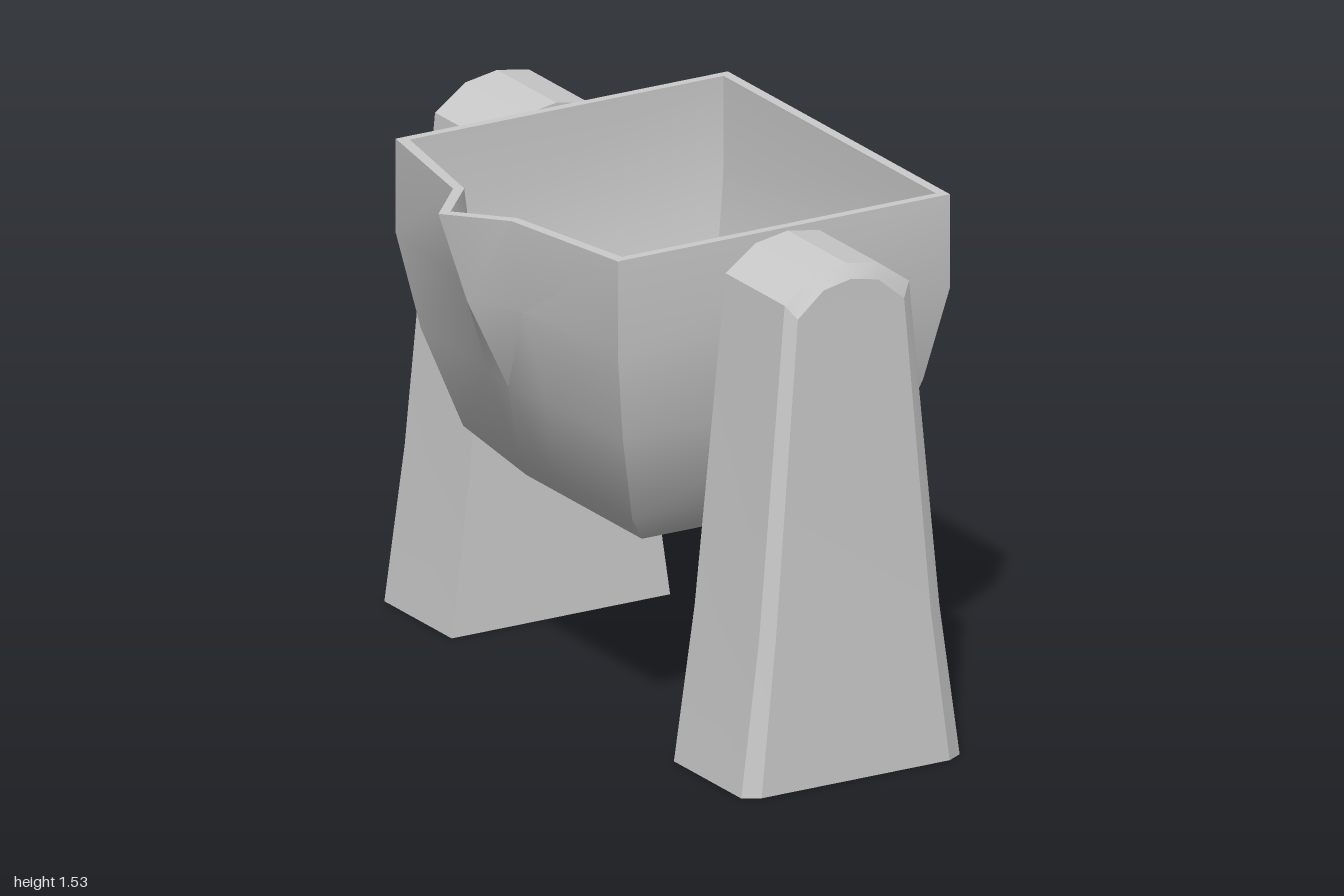
import * as THREE from 'three';
import { toCreasedNormals } from 'three/addons/utils/BufferGeometryUtils.js';

const MID_X = 0.11;
const material = new THREE.MeshStandardMaterial({ color: 0xcccccc });

// Skins a list of equal-length rings of [x, y, z] points and caps both ends.
function loft(rings, crease) {
  const pos = [];
  const tri = (a, b, c) => pos.push(...a, ...b, ...c);
  const quad = (a, b, c, d) => { tri(a, b, c); tri(a, c, d); };
  const n = rings[0].length;
  for (let k = 0; k < rings.length - 1; k++) {
    const a = rings[k], b = rings[k + 1];
    for (let i = 0; i < n; i++) {
      const j = (i + 1) % n;
      quad(a[i], a[j], b[j], b[i]);
    }
  }
  // caps: strips between opposite points of the ring
  const cap = (r) => {
    for (let i = 0; i < n - 2 - i; i++) {
      const p = r[i], q = r[i + 1], s = r[n - 2 - i], t = r[n - 1 - i];
      if (q === s) tri(p, q, t);
      else quad(p, q, s, t);
    }
  };
  cap([...rings[0]].reverse());
  cap(rings[rings.length - 1]);
  const geo = new THREE.BufferGeometry();
  geo.setAttribute('position', new THREE.Float32BufferAttribute(pos, 3));
  return toCreasedNormals(geo, crease);
}

function addMesh(parent, name, geometry) {
  const mesh = new THREE.Mesh(geometry, material);
  mesh.name = name;
  parent.add(mesh);
  return mesh;
}

// Square bucket section with a pointed pouring lip on the -x side
function bucketRing(y, right, left, halfZ, lip, tip, lipZ = 0.16) {
  return [
    [right, y, halfZ], [right, y, -halfZ], [left, y, -halfZ],
    [lip, y, -lipZ], [tip, y, 0], [lip, y, lipZ], [left, y, halfZ],
  ];
}

function bucketGeometry() {
  return loft([
    // outside, bottom to rim
    bucketRing(0.565, 0.40, -0.18, 0.315, -0.18, -0.18),
    bucketRing(0.69, 0.525, -0.30, 0.46, -0.30, -0.30),
    bucketRing(0.97, 0.605, -0.385, 0.55, -0.40, -0.43),
    bucketRing(1.25, 0.66, -0.435, 0.605, -0.48, -0.565),
    bucketRing(1.53, 0.66, -0.435, 0.605, -0.515, -0.66),
    // inside, rim to floor
    bucketRing(1.53, 0.63, -0.405, 0.578, -0.487, -0.62, 0.145),
    bucketRing(1.25, 0.63, -0.405, 0.578, -0.45, -0.53, 0.145),
    bucketRing(0.97, 0.575, -0.355, 0.525, -0.37, -0.40, 0.145),
    bucketRing(0.69, 0.495, -0.27, 0.435, -0.27, -0.27, 0.145),
  ], 0.55);
}

// Tapered upright with a rounded head and bevelled outer edge
function supportGeometry() {
  // half outline: half width, height, then z of inner face, bevel start, outer face,
  // and the bevelled half width and height
  const half = [
    [0.36, 0, 0.605, 0.972, 1.0, 0.31, 0],
    [0.297, 0.46, 0.614, 0.965, 0.987, 0.255, 0.46],
    [0.205, 1.44, 0.63, 0.952, 0.975, 0.175, 1.40],
    [0.105, 1.512, 0.63, 0.952, 0.975, 0.09, 1.472],
    [0, 1.53, 0.63, 0.952, 0.975, 0, 1.49],
  ];
  const ring = (w, h, z) => [
    ...half.map((p) => [p[w], p[h], p[z]]),
    ...half.slice(0, -1).reverse().map((p) => [-p[w], p[h], p[z]]),
  ];
  return loft([ring(0, 1, 2), ring(0, 1, 3), ring(5, 6, 4)], 0.3);
}

export function createModel() {
  const model = new THREE.Group();
  model.name = 'tiltingCrucible';

  addMesh(model, 'bucket', bucketGeometry());

  // the two uprights and their pivots, turned half round for the back
  const upright = supportGeometry();
  const pin = toCreasedNormals(
    new THREE.CylinderGeometry(0.095, 0.095, 0.06, 12).rotateX(Math.PI / 2), 0.6);
  for (const [side, angle] of [['front', 0], ['back', Math.PI]]) {
    const stand = new THREE.Group();
    stand.name = side + 'Stand';
    stand.position.x = MID_X;
    stand.rotation.y = angle;
    addMesh(stand, side + 'Support', upright);
    addMesh(stand, side + 'Pivot', pin).position.set(0, 1.375, 0.62);
    model.add(stand);
  }
  return model;
}
